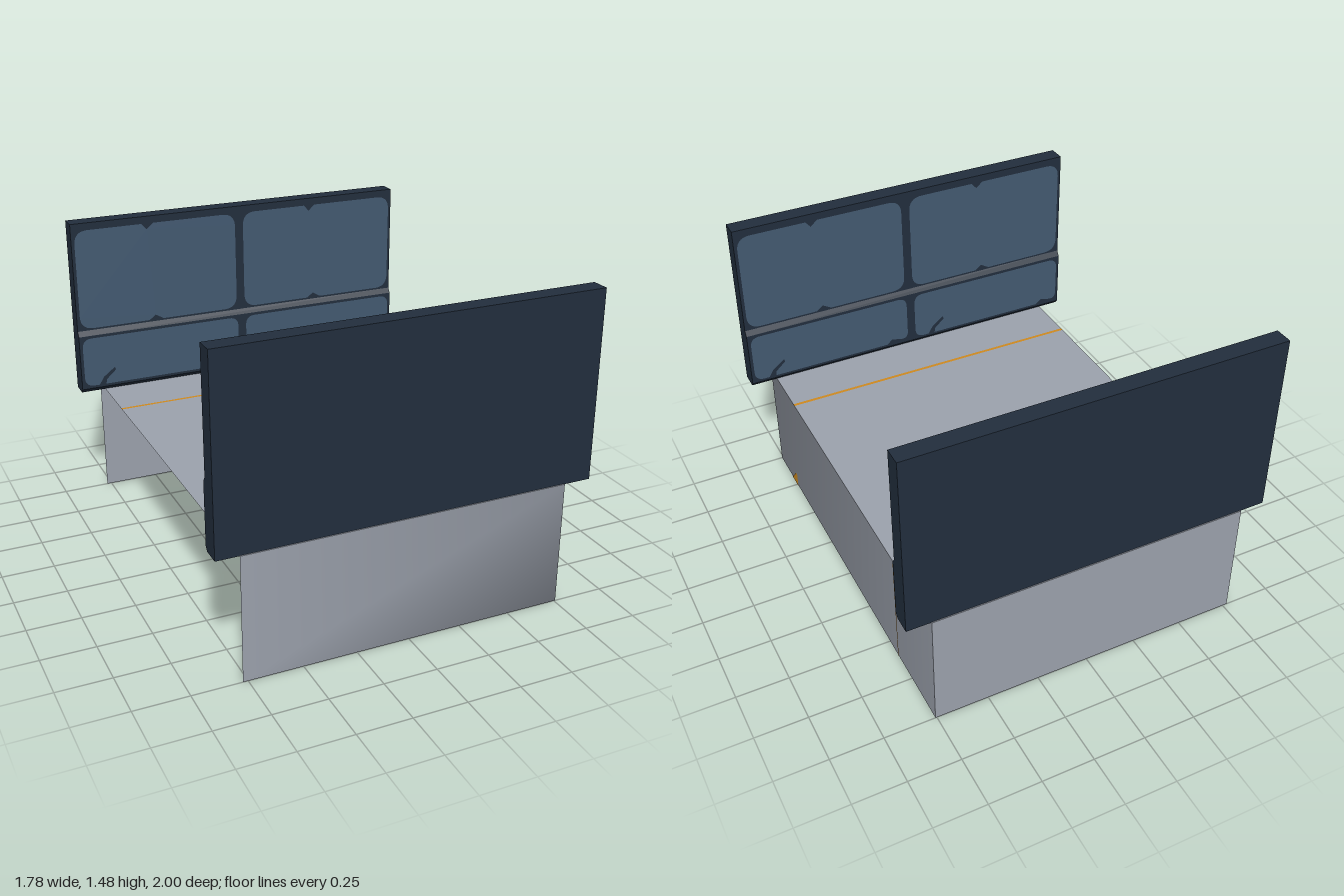
import * as THREE from 'three';

const hull = new THREE.MeshStandardMaterial({ name: 'greyShell', color: 0x9ca2ad, side: THREE.DoubleSide });
const navy = new THREE.MeshStandardMaterial({ name: 'navyFrame', color: 0x222e3d });
const glass = new THREE.MeshStandardMaterial({ name: 'bluePane', color: 0x435a71, side: THREE.DoubleSide });
const orange = new THREE.MeshStandardMaterial({ name: 'orangeMark', color: 0xce8a20, side: THREE.DoubleSide });

const X0 = -0.773, X1 = 0.757, TOP = 0.592;

function add(parent, name, geometry, material, x = 0, y = 0, z = 0) {
  const mesh = new THREE.Mesh(geometry, material);
  mesh.name = name;
  mesh.position.set(x, y, z);
  parent.add(mesh);
  return mesh;
}

// Vertical sheet following [x, z] points, shaded smoothly round its corners
function sheet(points) {
  const pos = [], index = [];
  points.forEach(([x, z], i) => {
    pos.push(x, 0, z, x, TOP, z);
    if (i) {
      const a = 2 * i - 2;
      index.push(a, a + 2, a + 3, a, a + 3, a + 1);
    }
  });
  const g = new THREE.BufferGeometry();
  g.setAttribute('position', new THREE.Float32BufferAttribute(pos, 3));
  g.setIndex(index);
  g.computeVertexNormals();
  return g;
}

// Pane outline with chipped edges: w wide, from y0 to y1; lower panes have a slanted slit
function paneShape(w, y0, y1, r, lower) {
  const s = new THREE.Shape();
  s.moveTo(r, y0);
  if (lower) {
    s.lineTo(0.075, y0);
    s.lineTo(0.10, y0 + 0.04);
    s.lineTo(0.16, y0 + 0.085);
    s.lineTo(0.165, y0 + 0.07);
    s.lineTo(0.115, y0 + 0.025);
    s.lineTo(0.11, y0);
    s.lineTo(w - 0.12, y0);
    s.lineTo(w - 0.09, y0 + 0.025);
    s.lineTo(w - 0.05, y0 + 0.015);
  } else {
    s.lineTo(w * 0.43, y0);
    s.lineTo(w * 0.47, y0 + 0.025);
    s.lineTo(w * 0.52, y0);
    s.lineTo(w - r, y0);
  }
  s.quadraticCurveTo(w, y0, w, y0 + r);
  s.lineTo(w, y1 - r);
  s.quadraticCurveTo(w, y1, w - r, y1);
  if (!lower) {
    s.lineTo(w * 0.48, y1);
    s.lineTo(w * 0.44, y1 - 0.03);
    s.lineTo(w * 0.41, y1);
  }
  s.lineTo(r, y1);
  s.quadraticCurveTo(0, y1, 0, y1 - r);
  s.lineTo(0, y0 + r);
  s.quadraticCurveTo(0, y0, r, y0);
  return s;
}

// Upright panel, outer face at local z = 0, panes facing +z
function endPanel(name) {
  const g = new THREE.Group();
  g.name = name;
  const W = 1.765;
  // Side profile with the thicker lower section
  const profile = new THREE.Shape([
    [0, 0.59], [0.085, 0.59], [0.101, 0.61], [0.101, 0.895], [0.085, 0.92], [0.085, 1.476], [0, 1.476],
  ].map(([z, y]) => new THREE.Vector2(-z, y)));
  const frame = new THREE.ExtrudeGeometry(profile, { depth: W, bevelEnabled: false });
  frame.translate(0, 0, -W / 2).rotateY(Math.PI / 2);
  add(g, 'panelFrame', frame, navy);
  for (const x of [-0.867, 0.022]) {
    add(g, 'upperPane', new THREE.ShapeGeometry(paneShape(0.845, 0.93, 1.44, 0.07, false)), glass, x, 0, 0.088);
    add(g, 'lowerPane', new THREE.ShapeGeometry(paneShape(0.845, 0.625, 0.882, 0.05, true)), glass, x, 0, 0.104);
  }
  return g;
}

export function createModel() {
  const model = new THREE.Group();
  model.name = 'panelledPlatform';

  // Shell: deck, front and right walls, back wall; left side and bottom open
  const shell = new THREE.Group();
  shell.name = 'shell';
  model.add(shell);
  const deck = new THREE.PlaneGeometry(X1 - X0, 2).rotateX(-Math.PI / 2);
  add(shell, 'deck', deck, hull, (X0 + X1) / 2, TOP, 0);
  add(shell, 'frontAndRightWall', sheet([[X0, 1], [X1, 1], [X1, -1]]), hull);
  add(shell, 'backWall', sheet([[X1, -1], [X0, -1]]), hull);

  // Thin marks on the deck and right wall
  for (const z of [-0.61, 0.65]) {
    const stripe = new THREE.PlaneGeometry(X1 - X0, 0.016).rotateX(-Math.PI / 2);
    add(model, 'deckStripe', stripe, orange, (X0 + X1) / 2, TOP + 0.002, z);
  }
  add(model, 'wallStripe', new THREE.PlaneGeometry(0.006, TOP).rotateY(Math.PI / 2), orange, X1 + 0.002, TOP / 2, -0.6);
  const wedge = new THREE.Shape([[-0.82, 0], [-0.735, 0], [-0.735, 0.077], [-0.755, 0.077]]
    .map(([a, b]) => new THREE.Vector2(a, b)));
  add(model, 'wallMark', new THREE.ShapeGeometry(wedge).rotateY(Math.PI / 2), orange, X1 + 0.002, 0, 0);

  // Facing end panels
  const back = endPanel('backPanel');
  back.position.set(-0.012, 0, -0.995);
  const front = endPanel('frontPanel');
  front.rotation.y = Math.PI;
  front.position.set(0.006, 0, 0.995);
  model.add(back, front);
  return model;
}
